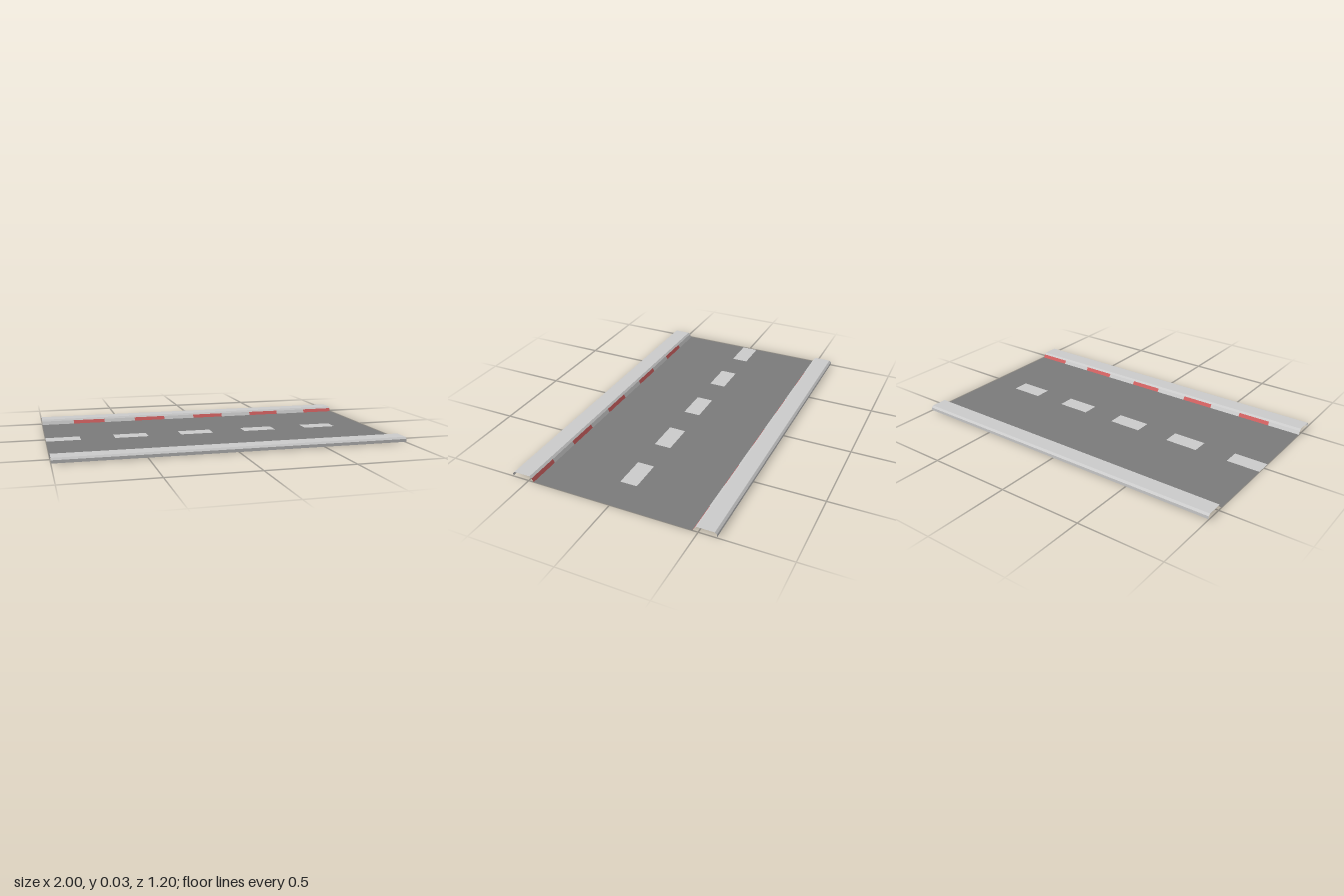
import * as THREE from 'three';

const paint = (color) => new THREE.MeshStandardMaterial({ color, side: THREE.DoubleSide, flatShading: true });

export function createModel() {
  const model = new THREE.Group();
  const asphalt = paint(0x7b7b7b);
  const concrete = paint(0xc2c2c2);
  const white = paint(0xe7e7e7);
  const red = paint(0xd06060);

  // Sweeps a [z, y] section, listed with z increasing, from x0 to x1.
  function strip(name, section, x0, x1, material, parent) {
    const positions = [];
    for (let i = 0; i < section.length - 1; i++) {
      const [za, ya] = section[i];
      const [zb, yb] = section[i + 1];
      positions.push(x0, ya, za, x0, yb, zb, x1, yb, zb);
      positions.push(x0, ya, za, x1, yb, zb, x1, ya, za);
    }
    const geometry = new THREE.BufferGeometry();
    geometry.setAttribute('position', new THREE.Float32BufferAttribute(positions, 3));
    geometry.computeVertexNormals();
    const mesh = new THREE.Mesh(geometry, material);
    mesh.name = name;
    parent.add(mesh);
  }

  const mirror = (section) => section.map(([z, y]) => [-z, y]).reverse();

  // Kerb sections: painted inner face, then bevel, flat top, bevel and outer lip
  const kerbFace = [[0.468, 0], [0.48, 0.02]];
  const kerbTop = [[0.48, 0.02], [0.492, 0.03], [0.588, 0.03], [0.6, 0.02], [0.6, 0.003]];
  const lane = [[0.05, 0], [0.468, 0]];

  for (const [side, shape] of [['front', (s) => s], ['back', mirror]]) {
    const group = new THREE.Group();
    group.name = `${side}Side`;
    model.add(group);
    strip(`${side}Lane`, shape(lane), -1, 1, asphalt, group);
    strip(`${side}Kerb`, shape(kerbTop), -1, 1, concrete, group);
    for (let i = 0; i < 10; i++) {
      const x = -1 + i * 0.2;
      strip(`${side}KerbStripe`, shape(kerbFace), x, x + 0.2, i % 2 ? red : white, group);
    }
  }

  // Centre line: dashes let into the road surface
  const centre = [[-0.05, 0], [0.05, 0]];
  for (let i = 0; i < 10; i++) {
    const x = -1 + i * 0.2;
    strip(i % 2 ? 'centreGap' : 'centreDash', centre, x, x + 0.2, i % 2 ? asphalt : white, model);
  }
  return model;
}
